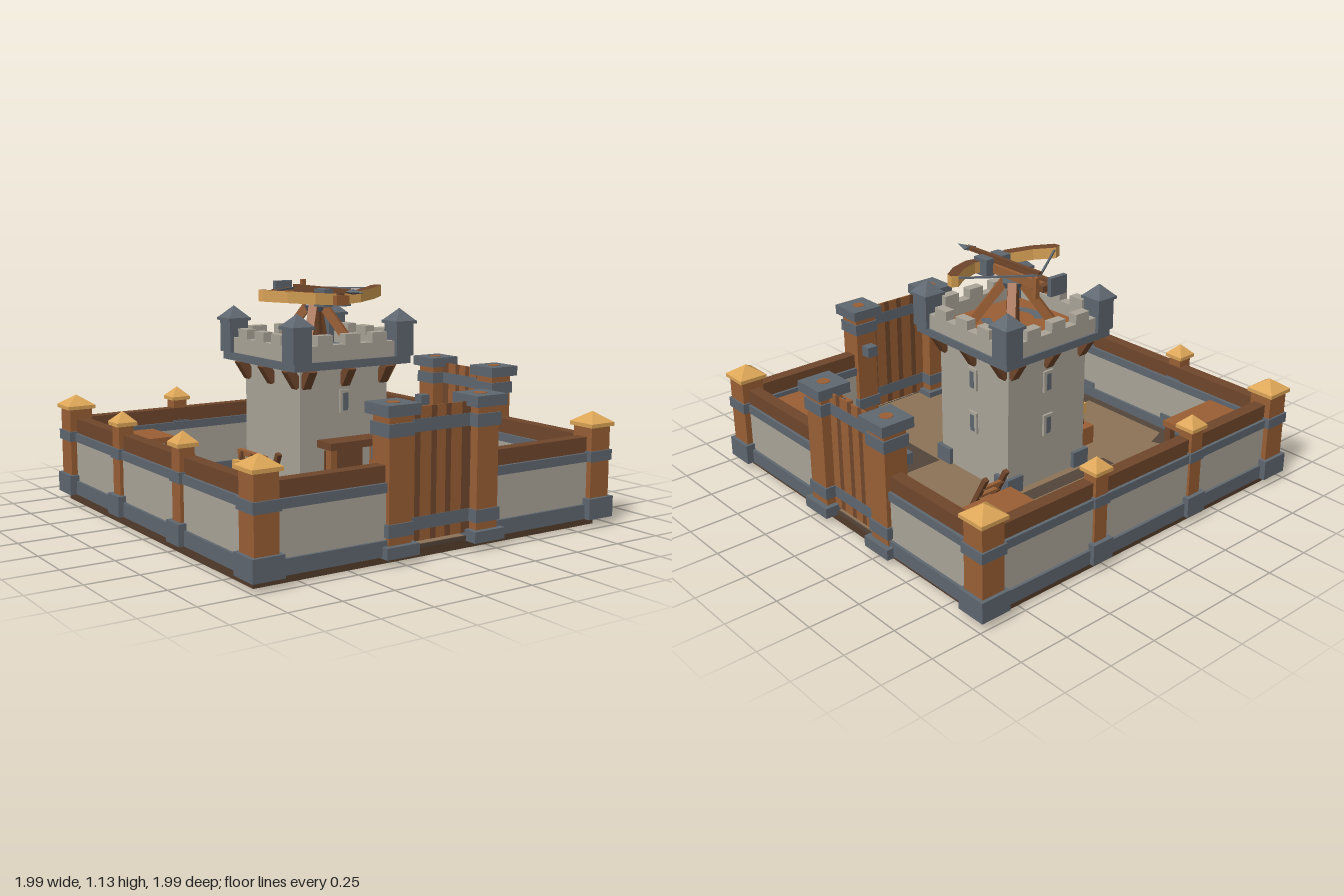
import * as THREE from 'three';

const M = {};
for (const [name, hex] of Object.entries({
  stone: 0xaba598, slate: 0x5f6770, wood: 0x9a5f35, darkWood: 0x70462c, gold: 0xdca557,
  earth: 0x8c7356, darkEarth: 0x53453a, soil: 0x553d2c, iron: 0x2f3032,
})) {
  M[name] = new THREE.MeshStandardMaterial({ color: hex });
  M[name].name = name;
}
M.slate.side = THREE.DoubleSide;

function add(parent, name, geo, mat, x = 0, y = 0, z = 0) {
  const m = new THREE.Mesh(geo, mat);
  m.name = name;
  m.position.set(x, y, z);
  parent.add(m);
  return m;
}
// box standing on height y0
const box = (p, name, mat, w, h, d, x, y0, z) =>
  add(p, name, new THREE.BoxGeometry(w, h, d), mat, x, y0 + h / 2, z);
function flat(geo) {
  const g = geo.toNonIndexed();
  g.computeVertexNormals();
  return g;
}
const pyramid = (p, name, mat, w, h, x, y0, z) =>
  add(p, name, flat(new THREE.ConeGeometry(w / Math.SQRT2, h, 4).rotateY(Math.PI / 4)), mat, x, y0 + h / 2, z);
// beam from a to b in the parent's own space
function beam(p, name, mat, a, b, w, h = w) {
  const A = new THREE.Vector3(...a), B = new THREE.Vector3(...b);
  const m = add(p, name, new THREE.BoxGeometry(w, h, A.distanceTo(B)), mat);
  m.position.copy(A).add(B).multiplyScalar(0.5);
  m.quaternion.setFromRotationMatrix(new THREE.Matrix4().lookAt(B, A, m.up));
  return m;
}
function group(p, name, x = 0, y = 0, z = 0) {
  const g = new THREE.Group();
  g.name = name;
  g.position.set(x, y, z);
  p.add(g);
  return g;
}

// wall section centred at x, z; runs along x or along z
function wall(p, len, x, z, alongX) {
  const g = group(p, 'wall', x, 0, z);
  if (!alongX) g.rotation.y = Math.PI / 2;
  box(g, 'wallStone', M.stone, len, 0.29, 0.07, 0, 0.04, 0);
  box(g, 'wallFoot', M.slate, len, 0.07, 0.098, 0, 0.04, 0);
  box(g, 'wallBand', M.slate, len, 0.042, 0.092, 0, 0.315, 0);
  box(g, 'wallRail', M.darkWood, len, 0.073, 0.062, 0, 0.357, 0);
}

// capped post, w is the shaft width
function post(p, w, foot, x, z, top) {
  const g = group(p, 'wallPost', x, 0, z);
  box(g, 'shaft', M.wood, w, top - 0.05, w, 0, 0.05, 0);
  box(g, 'foot', M.slate, foot, 0.1, foot, 0, 0.04, 0);
  box(g, 'band', M.slate, w + 0.018, 0.05, w + 0.018, 0, 0.315, 0);
  box(g, 'capSlab', M.gold, w + 0.028, 0.018, w + 0.028, 0, top - 0.012, 0);
  pyramid(g, 'cap', M.gold, w + 0.028, 0.05, 0, top + 0.006, 0);
}

// gateway centred on local x = 0, facing +z
function gateway(p, x, z, turn) {
  const g = group(p, 'gateway', x, 0, z);
  g.rotation.y = turn;
  for (const s of [-1, 1]) {
    const px = s * 0.24;
    box(g, 'gatePillar', M.wood, 0.12, 0.6, 0.12, px, 0.05, 0);
    box(g, 'pillarFoot', M.slate, 0.172, 0.052, 0.172, px, 0.033, 0);
    box(g, 'pillarCap', M.slate, 0.172, 0.05, 0.172, px, 0.64, 0);
    for (const y of [0.12, 0.55]) box(g, 'pillarBand', M.slate, 0.136, 0.058, 0.136, px, y, 0);
    add(g, 'pillarPeg', new THREE.CylinderGeometry(0.032, 0.032, 0.006, 8), M.wood, px, 0.689, 0);
    box(g, 'pillarBracket', M.slate, 0.06, 0.055, 0.06, px, 0.43, -0.085);
  }
  const widths = [0.05, 0.03, 0.06, 0.03, 0.05, 0.03, 0.06, 0.05];
  let left = -0.18;
  widths.forEach((w, i) => {
    box(g, 'gatePlank', i % 2 ? M.darkWood : M.wood, w, 0.59, 0.008, left + w / 2, 0.07, 0.008);
    left += w;
  });
  for (const y of [0.12, 0.55]) box(g, 'gateBand', M.slate, 0.36, 0.058, 0.014, 0, y, 0.008);
  box(g, 'threshold', M.darkEarth, 0.34, 0.017, 0.008, 0, 0.04, 0.018);
}

// raised corner floor with legs
function platform(p, x0, x1, z0, z1) {
  const g = group(p, 'cornerPlatform', (x0 + x1) / 2, 0, (z0 + z1) / 2);
  const w = x1 - x0, d = z1 - z0;
  box(g, 'deck', M.wood, w, 0.03, d, 0, 0.305, 0);
  for (const sx of [-1, 1]) for (const sz of [-1, 1])
    box(g, 'deckLeg', M.darkWood, 0.035, 0.26, 0.035, sx * (w / 2 - 0.025), 0.05, sz * (d / 2 - 0.025));
}

// ladder leaning from zFoot up to zTop
function ladder(p, x, zFoot, zTop) {
  const g = group(p, 'ladder', x);
  for (const s of [-1, 1])
    beam(g, 'ladderRail', M.darkWood, [s * 0.058, 0.06, zFoot], [s * 0.058, 0.45, zTop], 0.022);
  for (let i = 1; i < 8; i++)
    box(g, 'rung', M.wood, 0.12, 0.012, 0.018, 0, 0.05 + i * 0.048, zFoot + (zTop - zFoot) * i / 8);
}

function barrel(p, x, z) {
  const prof = [[0, 0], [0.05, 0], [0.063, 0.07], [0.05, 0.15], [0.04, 0.15], [0.04, 0.135], [0, 0.135]]
    .map(q => new THREE.Vector2(...q));
  const g = group(p, 'barrel', x, 0.055, z);
  add(g, 'barrelBody', flat(new THREE.LatheGeometry(prof, 8)), M.wood);
  for (const y of [0.04, 0.11])
    add(g, 'barrelHoop', new THREE.CylinderGeometry(0.063, 0.063, 0.014, 8), M.darkWood, 0, y, 0);
}

// open crate holding upright weapons
function crate(p, w, d, x, z, count) {
  const g = group(p, 'weaponCrate', x, 0, z);
  box(g, 'crateBody', M.wood, w, 0.12, d, 0, 0.055, 0);
  box(g, 'crateInside', M.darkEarth, w * 0.75, 0.006, d * 0.6, 0, 0.172, 0);
  for (let i = 0; i < count; i++) {
    const sx = (i / (count - 1) - 0.5) * w * 0.6, t = i % 2 ? 0.015 : -0.015;
    beam(g, 'weaponShaft', M.iron, [sx, 0.16, t], [sx + 0.01, 0.25, -t], 0.012);
    pyramid(g, 'weaponPoint', M.iron, 0.024, 0.04, sx + 0.01, 0.245, -t);
  }
}

function buildTower(p) {
  const g = group(p, 'tower', -0.032, 0, -0.038);
  box(g, 'keep', M.stone, 0.5, 0.7, 0.5, 0, 0.05, 0);
  box(g, 'battlementSlab', M.slate, 0.664, 0.038, 0.664, 0, 0.752, 0);
  box(g, 'battlementFloor', M.wood, 0.56, 0.012, 0.56, 0, 0.787, 0);
  // window heights on the front, left, back and right
  [[0.54], [0.54, 0.31], [0.54, 0.31], []].forEach((windows, k) => {
    const side = group(g, 'towerSide');
    side.rotation.y = k * Math.PI / 2;
    box(side, 'parapet', M.stone, 0.56, 0.075, 0.05, 0, 0.79, 0.297);
    for (const x of [-0.155, 0, 0.155])
      box(side, 'merlon', M.stone, 0.085, 0.05, 0.05, x, 0.862, 0.297);
    // corner turret
    box(side, 'turret', M.slate, 0.1, 0.16, 0.1, 0.292, 0.79, 0.292);
    box(side, 'turretCap', M.slate, 0.122, 0.014, 0.122, 0.292, 0.945, 0.292);
    pyramid(side, 'turretRoof', M.slate, 0.118, 0.06, 0.292, 0.958, 0.292);
    box(side, 'cornerFoot', M.slate, 0.1, 0.09, 0.1, 0.22, 0.05, 0.22);
    // brackets carrying the slab
    for (const x of [-0.22, 0, 0.22])
      beam(side, 'bracket', M.darkWood, [x, 0.67, 0.245], [x, 0.755, 0.3], 0.045);
    for (const y of windows) {
      box(side, 'windowFrame', M.stone, 0.06, 0.11, 0.02, 0, y - 0.01, 0.252);
      box(side, 'windowSlit', M.slate, 0.028, 0.085, 0.008, 0, y, 0.26);
    }
  });
  // door with timber porch
  box(g, 'door', M.darkWood, 0.22, 0.3, 0.008, -0.005, 0.055, 0.252);
  box(g, 'porchRoof', M.darkWood, 0.3, 0.035, 0.12, -0.005, 0.375, 0.31);
  for (const s of [-1, 1]) box(g, 'porchPost', M.wood, 0.035, 0.33, 0.04, -0.005 + s * 0.125, 0.05, 0.335);
  box(g, 'doorStep', M.slate, 0.23, 0.02, 0.16, -0.005, 0.055, 0.33);
}

function buildBallista(p) {
  const g = group(p, 'ballista', -0.032, 0, -0.038);
  for (const x of [-1, 1]) for (const z of [-1, 1])
    beam(g, 'standLeg', M.wood, [x * 0.15, 0.79, z * 0.15], [x * 0.03, 1.02, z * 0.03], 0.042);
  add(g, 'standCore', new THREE.CylinderGeometry(0.025, 0.035, 0.23, 8), M.darkWood, 0, 0.905, 0);
  // curved base rails
  for (const a of [-0.75, Math.PI - 0.75]) {
    const rail = new THREE.RingGeometry(0.105, 0.155, 10, 1, a, 1.5).rotateX(-Math.PI / 2);
    add(g, 'baseRail', rail, M.slate, 0, 0.83, 0);
  }
  add(g, 'swivel', new THREE.CylinderGeometry(0.06, 0.045, 0.03, 8), M.slate, 0, 1.01, 0);
  box(g, 'stock', M.wood, 0.07, 0.045, 0.54, 0, 1.04, -0.03);
  box(g, 'stockGroove', M.darkWood, 0.03, 0.014, 0.5, 0, 1.085, -0.02);
  box(g, 'rearBeam', M.darkWood, 0.15, 0.03, 0.04, 0, 1.06, -0.27);
  box(g, 'rearBlock', M.slate, 0.1, 0.09, 0.025, 0, 1.04, -0.305);
  box(g, 'rearLever', M.wood, 0.022, 0.1, 0.022, 0.1, 1.035, -0.27);
  for (const s of [-1, 1]) box(g, 'bowClamp', M.slate, 0.05, 0.085, 0.09, s * 0.052, 1.03, 0.15);
  // bow, curved in plan with raised tips
  const outer = [[0.345, 0.04], [0.34, 0.075], [0.25, 0.145], [0.13, 0.2], [0, 0.205]];
  const inner = [[0, 0.155], [0.11, 0.15], [0.22, 0.1], [0.31, 0.03]];
  const mirror = a => a.map(([x, z]) => [-x, z]).reverse();
  const pts = [...outer, ...mirror(outer).slice(1), ...mirror(inner), ...inner.slice(1)];
  const bow = new THREE.ExtrudeGeometry(new THREE.Shape(pts.map(q => new THREE.Vector2(...q))),
    { depth: 0.055, bevelEnabled: false }).rotateX(Math.PI / 2);
  const pos = bow.attributes.position;
  for (let i = 0; i < pos.count; i++) pos.setY(i, pos.getY(i) + 0.07 * Math.abs(pos.getX(i)));
  bow.computeVertexNormals();
  add(g, 'bow', bow, [M.darkWood, M.gold], 0, 1.092, 0);
  for (const s of [-1, 1])
    beam(g, 'bowString', M.slate, [s * 0.325, 1.1, 0.05], [0, 1.1, -0.19], 0.009);
  // bolt
  beam(g, 'boltShaft', M.darkWood, [0, 1.108, -0.19], [0, 1.108, 0.34], 0.02);
  const tip = add(g, 'boltTip', flat(new THREE.ConeGeometry(0.04, 0.1, 4).rotateX(Math.PI / 2)), M.slate, 0, 1.108, 0.365);
  tip.scale.y = 0.35;
}

export function createModel() {
  const root = new THREE.Group();
  root.name = 'fort';

  // ground, with an earth underside
  const base = [M.soil, M.soil, M.soil, M.earth, M.soil, M.soil];
  box(root, 'groundBase', base, 1.885, 0.04, 1.875, -0.017, 0, -0.013);
  box(root, 'yard', M.earth, 1.88, 0.016, 1.87, -0.017, 0.04, -0.013);
  const patches = [
    [[-0.39, -0.41], [0.86, -0.41], [0.86, -0.33], [-0.39, -0.33]],
    [[-0.39, 0.2], [-0.3, 0.2], [-0.3, 0.86], [-0.39, 0.86]],
    [[0.25, 0.2], [0.85, 0.2], [0.8, 0.38], [0.72, 0.38], [0.68, 0.33], [0.37, 0.35], [0.36, 0.65], [0.39, 0.7], [0.37, 0.85], [0.5, 0.88], [0.25, 0.88]],
    [[-0.87, -0.89], [0.86, -0.89], [0.86, -0.84], [-0.87, -0.84]],
    [[-0.87, -0.84], [-0.82, -0.84], [-0.82, -0.44], [-0.73, -0.43], [-0.71, -0.37], [-0.82, -0.33], [-0.82, 0.5], [-0.87, 0.5]],
    [[-0.39, -0.84], [-0.27, -0.84], [-0.3, -0.66], [-0.17, -0.64], [-0.17, -0.59], [-0.39, -0.59], [-0.41, -0.66], [-0.34, -0.7]],
    [[0.25, -0.72], [0.4, -0.7], [0.41, -0.6], [0.17, -0.6], [0.16, -0.64]],
    [[-0.82, 0.2], [-0.54, 0.2], [-0.55, 0.26], [-0.66, 0.33], [-0.82, 0.3]],
    [[-0.46, 0.52], [-0.39, 0.5], [-0.39, 0.6], [-0.45, 0.57]],
  ];
  for (const q of patches) {
    const shape = new THREE.Shape(q.map(([x, z]) => new THREE.Vector2(x, -z)));
    add(root, 'darkEarthPatch', new THREE.ShapeGeometry(shape).rotateX(-Math.PI / 2), M.darkEarth, 0, 0.0585, 0);
  }

  // walls, posts and gateways
  wall(root, 1.83, -0.005, -0.922, true);
  wall(root, 1.83, -0.915, -0.01, false);
  wall(root, 0.6, -0.62, 0.908, true);
  wall(root, 0.63, 0.595, 0.908, true);
  wall(root, 0.6, 0.905, -0.625, false);
  wall(root, 0.63, 0.905, 0.595, false);
  for (const x of [-0.922, 0.912]) for (const z of [-0.924, 0.912]) post(root, 0.118, 0.153, x, z, 0.49);
  for (const v of [-0.342, 0.28]) {
    post(root, 0.075, 0.12, v, -0.932, 0.485);
    post(root, 0.075, 0.12, -0.93, v, 0.485);
  }
  gateway(root, -0.02, 0.905, 0);
  gateway(root, 0.902, -0.025, Math.PI / 2);

  buildTower(root);
  buildBallista(root);

  // yard fittings
  platform(root, -0.875, -0.515, -0.89, -0.61);
  platform(root, 0.49, 0.87, -0.89, -0.61);
  platform(root, -0.885, -0.555, 0.55, 0.87);
  platform(root, 0.5, 0.865, 0.585, 0.88);
  ladder(root, 0.608, -0.44, -0.65);
  ladder(root, -0.677, 0.39, 0.57);
  barrel(root, 0.765, -0.515);
  barrel(root, -0.81, 0.455);
  crate(root, 0.24, 0.19, 0.367, -0.795, 5);
  crate(root, 0.235, 0.21, -0.418, 0.725, 5);
  crate(root, 0.165, 0.14, -0.442, 0.16, 4);

  // weapon stand beside the tower
  const stand = group(root, 'weaponStand', -0.425, 0.055, -0.045);
  box(stand, 'standBench', M.wood, 0.11, 0.1, 0.25, 0, 0, 0);
  for (const s of [-1, 1]) box(stand, 'standPost', M.wood, 0.025, 0.27, 0.025, 0.035, 0, s * 0.11);
  box(stand, 'standRail', M.wood, 0.025, 0.025, 0.25, 0.035, 0.25, 0);
  [M.gold, M.slate].forEach((m, i) => {
    const z = i ? 0.02 : -0.075;
    beam(stand, 'leaningShaft', M.darkWood, [-0.02, 0.1, z], [0.02, 0.27, z], 0.015);
    box(stand, 'weaponHead', m, 0.045, 0.06, 0.05, 0, 0.17, z);
  });
  return root;
}
